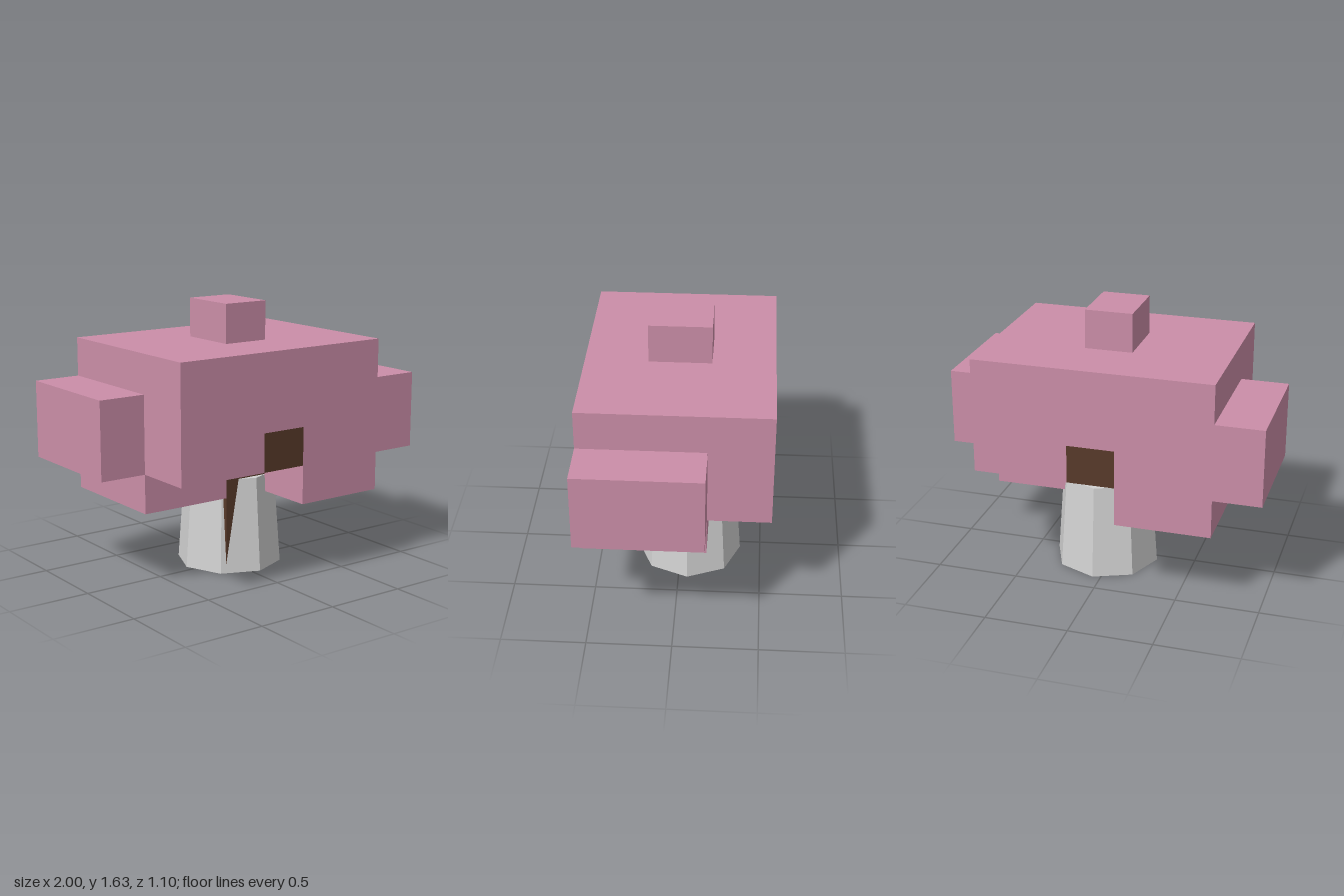
import * as THREE from 'three';

const pink = new THREE.MeshStandardMaterial({ name: 'pink blossom', color: 0xcb8ea8 });
const brown = new THREE.MeshStandardMaterial({ name: 'brown wood', color: 0x583a2a });
const grey = new THREE.MeshStandardMaterial({ name: 'pale grey', color: 0xd2d2d2 });

// Block grid: x, y and z steps
const X1 = 0.143, X2 = 0.714, X3 = 1;
const Y1 = 0.47, Y2 = 0.704, Y3 = 0.935, Y4 = 1.167, Y5 = 1.4, Y6 = 1.634;
const Z1 = 0.184, Z2 = 0.552;

// Box given by its two opposite corners
function block(name, material, [x0, y0, z0], [x1, y1, z1]) {
  const mesh = new THREE.Mesh(new THREE.BoxGeometry(x1 - x0, y1 - y0, z1 - z0), material);
  mesh.position.set((x0 + x1) / 2, (y0 + y1) / 2, (z0 + z1) / 2);
  mesh.name = name;
  return mesh;
}

export function createModel() {
  const tree = new THREE.Group();
  tree.name = 'blockTree';

  // Main crown, with a channel along the underside for the branch
  const outline = new THREE.Shape([
    [-X2, Y2], [-X1, Y2], [-X1, Y3], [X1, Y3], [X1, Y2], [X2, Y2], [X2, Y5], [-X2, Y5],
  ].map(([x, y]) => new THREE.Vector2(x, y)));
  const crownGeometry = new THREE.ExtrudeGeometry(outline, { depth: 2 * Z2, bevelEnabled: false });
  const crown = new THREE.Mesh(crownGeometry.translate(0, 0, -Z2), pink);
  crown.name = 'crown';
  tree.add(crown, block('crownTop', pink, [-X1, Y5, -Z1], [X1, Y6, Z1]));

  // Side foliage, repeated by a half turn
  for (const side of ['left', 'right']) {
    const foliage = new THREE.Group();
    foliage.name = side + 'Foliage';
    foliage.add(
      block(side + 'SideBlock', pink, [X2, Y2, -Z1], [X3, Y4, Z2]),
      block(side + 'LowerBlock', pink, [X1, Y1, -Z1], [X2, Y2, Z2]),
    );
    if (side === 'right') foliage.rotation.y = Math.PI;
    tree.add(foliage);
  }

  // Trunk and the cross branch above it
  tree.add(
    block('trunk', brown, [-X1, 0.001, -Z1], [X1, Y2, Z1]),
    block('branch', brown, [-X1, Y2, -Z2], [X1, Y3, Z2]),
  );

  // Tapered eight-sided sleeve, slightly off centre
  const sleeveGeometry = new THREE.CylinderGeometry(0.279, 0.321, 0.575, 8).toNonIndexed();
  sleeveGeometry.computeVertexNormals();
  const sleeve = new THREE.Mesh(sleeveGeometry, grey);
  sleeve.name = 'trunkSleeve';
  sleeve.position.set(0.05, 0.2875, -0.053);
  tree.add(sleeve);

  return tree;
}
